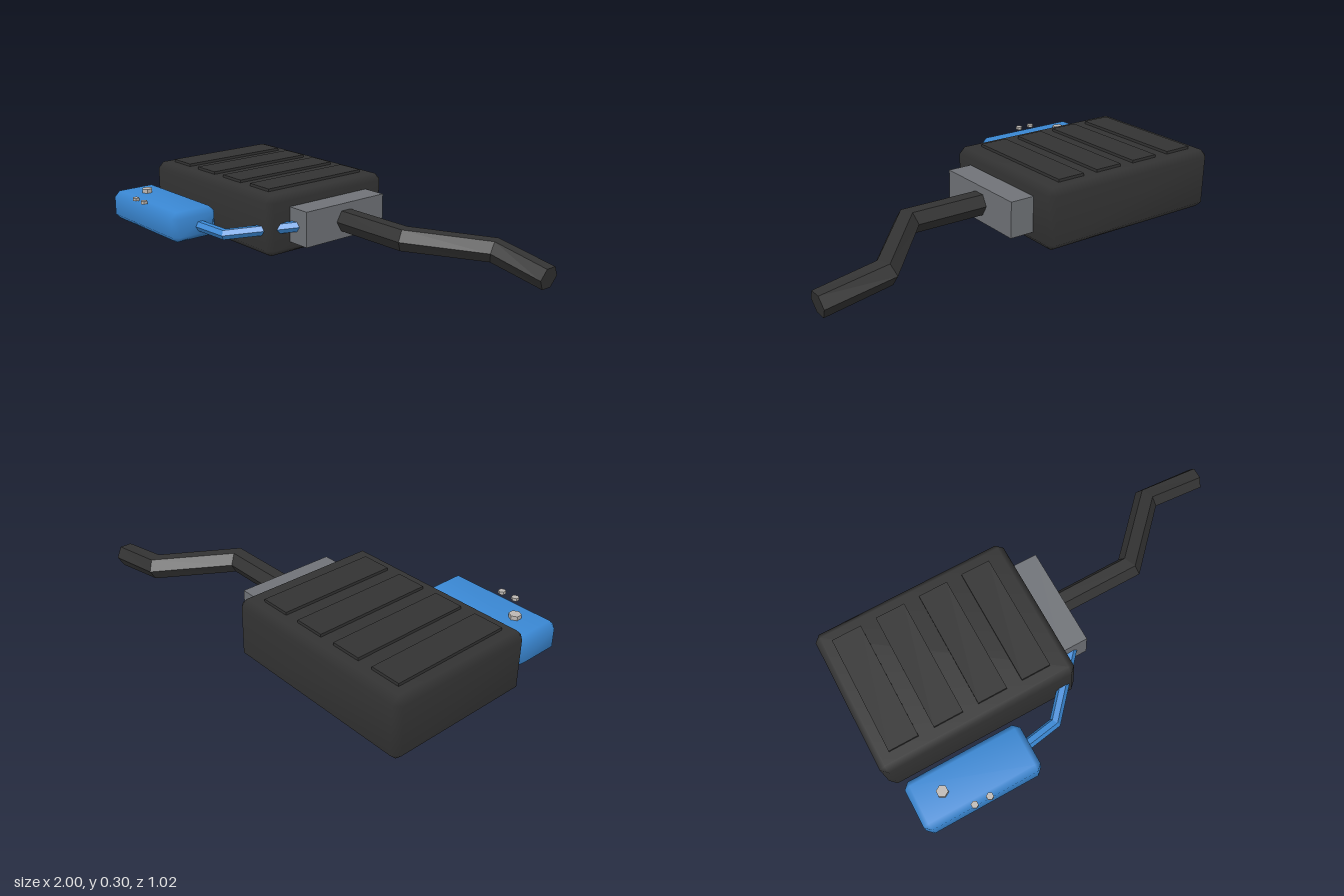
import * as THREE from 'three';
import { mergeVertices } from 'three/addons/utils/BufferGeometryUtils.js';
import { ConvexGeometry } from 'three/addons/geometries/ConvexGeometry.js';

const mat = (name, color) => {
  const m = new THREE.MeshStandardMaterial({ color });
  m.name = name;
  return m;
};

// Box with one-step bevelled edges and smooth normals
function bevelBox(w, h, d, b) {
  const points = [];
  for (const x of [-1, 1]) for (const y of [-1, 1]) for (const z of [-1, 1]) {
    for (let out = 0; out < 3; out++) {
      points.push(new THREE.Vector3(
        x * (w / 2 - (out === 0 ? 0 : b)),
        y * (h / 2 - (out === 1 ? 0 : b)),
        z * (d / 2 - (out === 2 ? 0 : b))));
    }
  }
  let g = new ConvexGeometry(points);
  g.deleteAttribute('normal');
  g = mergeVertices(g, 1e-4);
  g.computeVertexNormals();
  return g;
}

// Faceted six-sided cable with mitred bends and closed ends
function cable(path, radius) {
  const sides = 6, pos = [], idx = [];
  const pts = path.map(p => new THREE.Vector3(...p));
  const last = pts.length - 1;
  const dirs = pts.slice(1).map((p, i) => p.clone().sub(pts[i]).normalize());
  const up = new THREE.Vector3(0, 1, 0);
  pts.forEach((p, i) => {
    const a = dirs[Math.max(i - 1, 0)], b = dirs[Math.min(i, last - 1)];
    const t = a.clone().add(b).normalize();
    const side = new THREE.Vector3().crossVectors(t, up).normalize();
    const top = new THREE.Vector3().crossVectors(side, t);
    const mitre = 1 / a.dot(t);
    for (let k = 0; k < sides; k++) {
      const ang = k / sides * Math.PI * 2;
      const v = p.clone()
        .addScaledVector(side, Math.cos(ang) * radius * mitre)
        .addScaledVector(top, Math.sin(ang) * radius);
      pos.push(v.x, v.y, v.z);
    }
  });
  for (let i = 0; i < last; i++) for (let k = 0; k < sides; k++) {
    const a = i * sides + k, b = i * sides + (k + 1) % sides;
    idx.push(a, a + sides, b, b, a + sides, b + sides);
  }
  // End caps as fans
  const e = last * sides;
  for (let k = 1; k < sides - 1; k++) {
    idx.push(0, k, k + 1, e, e + k + 1, e + k);
  }
  // Side vector is t x up and top is side x t, so angles run clockwise seen along t
  for (let i = 0; i < idx.length; i += 3) {
    const A = new THREE.Vector3().fromArray(pos, idx[i] * 3);
    const B = new THREE.Vector3().fromArray(pos, idx[i + 1] * 3);
    const C = new THREE.Vector3().fromArray(pos, idx[i + 2] * 3);
    const n = B.clone().sub(A).cross(C.clone().sub(A));
    const ring = Math.min(Math.floor(idx[i] / sides), last);
    const isCap = [0, 1, 2].every(j => Math.floor(idx[i + j] / sides) === ring);
    const outward = isCap
      ? dirs[ring ? last - 1 : 0].clone().multiplyScalar(ring ? 1 : -1)
      : A.clone().add(B).add(C).sub([0, 1, 2].reduce(
        (s, j) => s.add(pts[Math.floor(idx[i + j] / sides)]), new THREE.Vector3()));
    if (n.dot(outward) < 0) [idx[i + 1], idx[i + 2]] = [idx[i + 2], idx[i + 1]];
  }
  const g = new THREE.BufferGeometry();
  g.setAttribute('position', new THREE.Float32BufferAttribute(pos, 3));
  g.setIndex(idx);
  const flat = g.toNonIndexed();
  flat.computeVertexNormals();
  return flat;
}

function knob(radius, height) {
  const g = new THREE.CylinderGeometry(radius, radius, height, 6).toNonIndexed();
  g.computeVertexNormals();
  return g;
}

export function createModel() {
  const model = new THREE.Group();
  model.name = 'batteryPack';
  const black = mat('blackPlastic', 0x333333);
  const blue = mat('bluePlastic', 0x3a88d4);
  const grey = mat('greyPlastic', 0x707378);
  const silver = mat('lightMetal', 0xbdb8b3);

  const add = (name, geometry, material, x = 0, y = 0, z = 0) => {
    const mesh = new THREE.Mesh(geometry, material);
    mesh.name = name;
    mesh.position.set(x, y, z);
    model.add(mesh);
  };

  // Main case with raised ribs on its lid
  add('mainCase', bevelBox(0.945, 0.283, 0.713, 0.029), black, -0.5275, 0.1485, -0.153);
  for (let i = 0; i < 4; i++) {
    add('lidRib', new THREE.BoxGeometry(0.14, 0.03, 0.57), black, -0.86 + i * 0.2133, 0.288, -0.154);
  }

  // Connector block and main cable
  add('connectorBlock', new THREE.BoxGeometry(0.13, 0.167, 0.475), grey, -0.002, 0.148, -0.153);
  add('mainCable', cable([
    [0.03, 0.149, -0.154], [0.43, 0.149, -0.154], [0.7, 0.103, -0.44], [0.988, 0.054, -0.44],
  ], 0.056), black);

  // Small control box with its lead
  add('controlBox', bevelBox(0.565, 0.142, 0.237, 0.027), blue, -0.6685, 0.124, 0.3715);
  add('controlLead', cable([
    [-0.42, 0.119, 0.355], [-0.235, 0.106, 0.322], [0, 0.15, 0.06],
  ], 0.026), blue);

  // Knobs
  add('largeKnob', knob(0.027, 0.028), silver, -0.812, 0.2, 0.372);
  for (const x of [-0.718, -0.645]) {
    add('smallKnob', knob(0.017, 0.014), silver, x, 0.201, 0.49);
  }
  return model;
}
